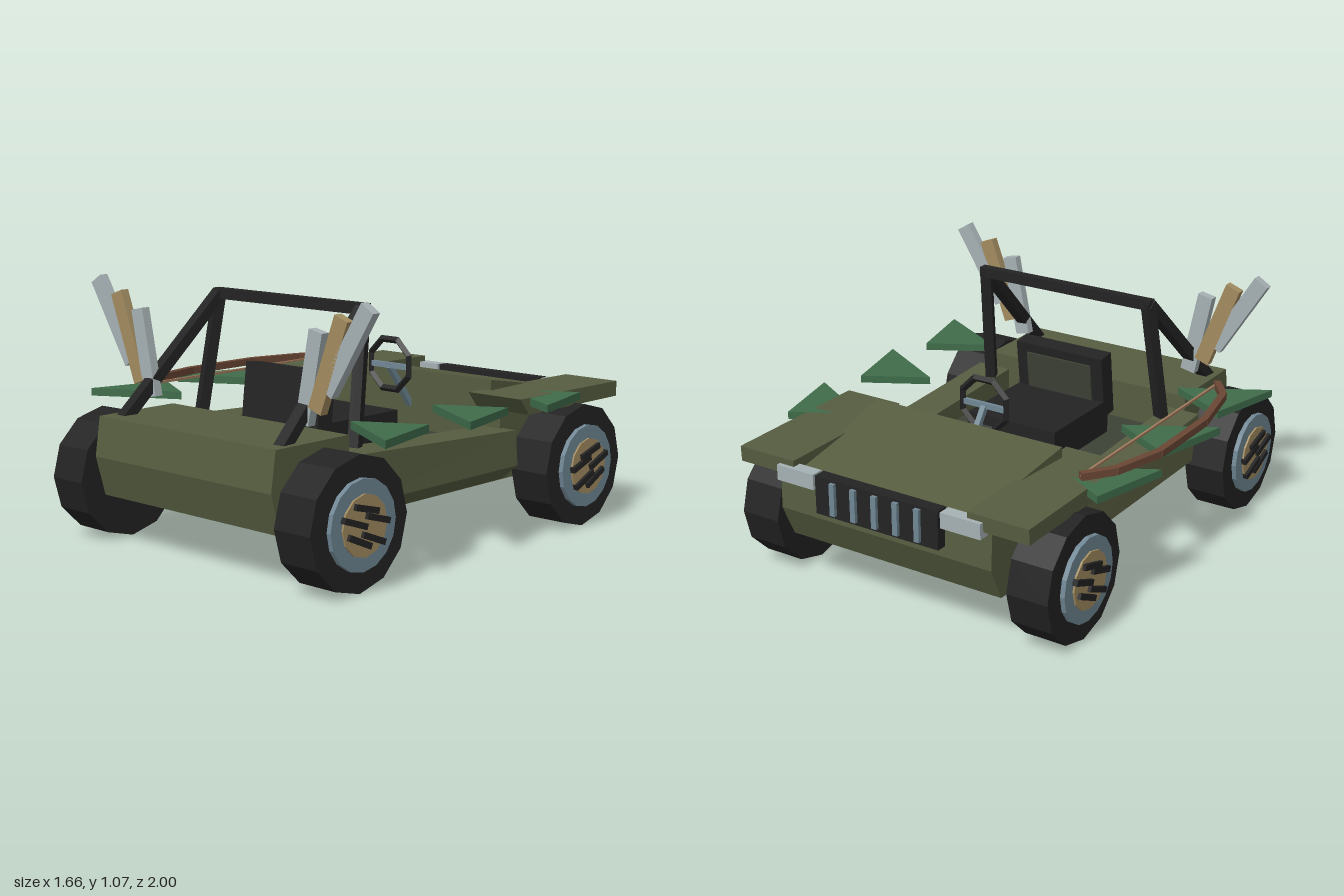
import * as THREE from 'three';

const mat = (name, color) => {
  const m = new THREE.MeshStandardMaterial({ color, flatShading: true });
  m.name = name;
  return m;
};

export function createModel() {
  const olive = mat('olive paint', 0x565d40), floorMat = mat('dark floor', 0x3d4236);
  const black = mat('black rubber', 0x232323), steel = mat('blue steel', 0x708794);
  const tan = mat('tan', 0xa28c60), silver = mat('silver', 0xa6b1b4);
  const green = mat('green', 0x3f6c4a), brown = mat('brown wood', 0x6a4634);
  const cord = mat('cord', 0xa07a5c);
  const root = new THREE.Group();

  const add = (name, geo, material, parent = root) => {
    const m = new THREE.Mesh(geo, material);
    m.name = name;
    parent.add(m);
    return m;
  };
  // Box given by its min and max corners
  const box = (name, x0, x1, y0, y1, z0, z1, material, parent) => {
    const m = add(name, new THREE.BoxGeometry(x1 - x0, y1 - y0, z1 - z0), material, parent);
    m.position.set((x0 + x1) / 2, (y0 + y1) / 2, (z0 + z1) / 2);
    return m;
  };
  // Bar of rectangular section running between two points
  const bar = (name, a, b, w, d, material, parent) => {
    const p = new THREE.Vector3(...a), q = new THREE.Vector3(...b);
    const m = add(name, new THREE.BoxGeometry(w, d, p.distanceTo(q)), material, parent);
    m.position.copy(p).add(q).multiplyScalar(0.5);
    m.lookAt(q);
    return m;
  };
  const extrude = (pts, depth) => new THREE.ExtrudeGeometry(
    new THREE.Shape(pts.map(p => new THREE.Vector2(...p))), { depth, bevelEnabled: false });
  // Side profile of [z, y] points, extruded across x0..x1
  const sideProfile = (pts, x0, x1) =>
    extrude(pts.map(([z, y]) => [-z, y]), x1 - x0).rotateY(Math.PI / 2).translate(x0, 0, 0);

  // Hull: rear deck, cockpit floor and nose
  add('hull', sideProfile([[0.92, 0.21], [0.965, 0.375], [0.94, 0.537], [0.55, 0.537], [0.55, 0.36],
    [-0.38, 0.36], [-0.38, 0.53], [-0.935, 0.53], [-0.945, 0.35], [-0.88, 0.21]], -0.5, 0.5), olive);
  box('cockpitFloor', -0.41, 0.41, 0.36, 0.368, -0.38, 0.55, floorMat);

  // Hood: wedge rising and widening towards the cockpit
  const hood = new THREE.BoxGeometry(2, 1, 1);
  const hp = hood.attributes.position;
  for (let i = 0; i < hp.count; i++) {
    const back = hp.getZ(i) > 0, top = hp.getY(i) > 0;
    hp.setXYZ(i, hp.getX(i) * (back ? 0.452 : 0.41), top ? (back ? 0.63 : 0.535) : 0.45, back ? -0.378 : -0.905);
  }
  hood.computeVertexNormals();
  add('hood', hood, olive);

  for (const s of [-1, 1]) {
    const tag = s > 0 ? 'left' : 'right';
    // Side rails beside the cockpit, tops sloping down to the nose
    const section = [[0.41, 0.212], [0.5, 0.212], [0.58, 0.28], [0.568, 0.45], [0.41, 0.45]];
    const rail = extrude(section.map(([x, y]) => [x * s, y]), 0.95).translate(0, 0, -0.4);
    const rp = rail.attributes.position;
    for (let i = 0; i < rp.count; i++) if (rp.getY(i) > 0.4) rp.setY(i, 0.446 + 0.045 * rp.getZ(i));
    rail.computeVertexNormals();
    add(tag + 'SideRail', rail, olive);

    // Fender slab
    const fx = [0.41 * s, 0.68 * s].sort((a, b) => a - b);
    add(tag + 'Fender', sideProfile([[-0.28, 0.586], [-0.34, 0.515], [-0.965, 0.515], [-0.968, 0.58]], ...fx), olive);
    const lx = [0.3 * s, 0.48 * s].sort((a, b) => a - b);
    box(tag + 'Headlight', ...lx, 0.49, 0.555, -0.985, -0.93, silver);

    // Wheels
    for (const z of [0.74, -0.66]) {
      const wheel = new THREE.Group();
      wheel.name = tag + (z > 0 ? 'Rear' : 'Front') + 'Wheel';
      wheel.position.set(0, 0.262, z);
      root.add(wheel);
      const disc = (name, r, x0, x1, n, m) => add(name,
        new THREE.CylinderGeometry(r, r, x1 - x0, n).rotateZ(Math.PI / 2).rotateX(Math.PI / 2)
          .translate(s * (x0 + x1) / 2, 0, 0), m, wheel);
      disc('tire', 0.262, 0.55, 0.73, 12, black);
      disc('rim', 0.176, 0.7, 0.75, 16, steel);
      disc('hub', 0.12, 0.72, 0.758, 12, tan);
      for (let i = 0; i < 5; i++) {
        const a = i * Math.PI * 2 / 5;
        bar('spoke', [0.76 * s, 0, 0], [0.76 * s, 0.128 * Math.cos(a), 0.128 * Math.sin(a)], 0.024, 0.024, black, wheel);
      }
    }

    // Roll bar legs
    bar(tag + 'RollBarPost', [0.44 * s, 0.44, 0.455], [0.405 * s, 1.0, 0.365], 0.045, 0.045, black);
    bar(tag + 'RollBarBrace', [0.447 * s, 0.52, 0.86], [0.405 * s, 0.995, 0.365], 0.05, 0.045, black);

    // Fan of three blades by the rear deck
    [[0.43, 0.595, 0.502, 0.95, silver], [0.495, 0.65, 0.63, 1.008, tan], [0.552, 0.725, 0.758, 1.055, silver]]
      .forEach(([x0, y0, x1, y1, m], i) => {
        const blade = add(tag + 'Blade' + (i + 1),
          new THREE.BoxGeometry(0.068, Math.hypot(x1 - x0, y1 - y0), 0.038), m);
        blade.position.set(s * (x0 + x1) / 2, (y0 + y1) / 2, 0.715);
        blade.rotation.z = -s * Math.atan2(x1 - x0, y1 - y0);
      });

    // Triangular side fins
    for (const z of [0.52, 0.035, -0.455]) {
      const tri = [[0.48, -z], [0.745, 0.148 - z], [0.83, -0.195 - z]];
      add(tag + 'Fin', extrude(tri.map(([x, y]) => [x * s, y]), 0.032)
        .rotateX(-Math.PI / 2).translate(0, 0.552, 0), green);
    }
  }
  bar('rollBarTop', [-0.425, 0.992, 0.365], [0.425, 0.992, 0.365], 0.04, 0.044, black);

  // Grille with slats
  box('grille', -0.29, 0.29, 0.395, 0.555, -0.985, -0.93, black);
  for (let i = -2; i <= 2; i++) box('grilleSlat', i * 0.1 - 0.012, i * 0.1 + 0.012, 0.41, 0.545, -1, -0.97, steel);

  // Seat
  box('seatCushion', -0.215, 0.215, 0.366, 0.517, -0.055, 0.38, black);
  const seatBack = new THREE.Group();
  seatBack.name = 'seatBack';
  seatBack.position.set(0, 0.585, 0.375);
  seatBack.rotation.x = -0.12;
  root.add(seatBack);
  box('backrest', -0.215, 0.215, -0.14, 0.14, -0.04, 0.04, black, seatBack);
  box('backrestPanel', -0.16, 0.16, -0.1, 0.1, -0.049, -0.04, floorMat, seatBack);

  // Steering wheel and column
  const steering = add('steeringWheel', new THREE.TorusGeometry(0.115, 0.016, 4, 8).rotateZ(Math.PI / 8), black);
  steering.position.set(0, 0.665, -0.25);
  bar('steeringColumn', [0, 0.655, -0.25], [0, 0.47, -0.385], 0.024, 0.024, steel);
  bar('steeringSpoke', [-0.11, 0.66, -0.25], [0.11, 0.66, -0.25], 0.016, 0.024, steel);

  // Bow lying along the right side
  const bow = new THREE.Group();
  bow.name = 'bow';
  root.add(bow);
  const bowPts = [[-0.625, -0.525], [-0.71, -0.41], [-0.772, -0.175], [-0.772, 0.2], [-0.71, 0.49], [-0.625, 0.6]];
  for (let i = 0; i < 5; i++) {
    const [a, b] = [bowPts[i], bowPts[i + 1]];
    bar('bowLimb', [a[0], 0.607, a[1]], [b[0], 0.607, b[1]], 0.03, 0.03, brown, bow);
  }
  bar('bowString', [-0.627, 0.607, -0.525], [-0.627, 0.607, 0.6], 0.01, 0.01, cord, bow);

  return root;
}
